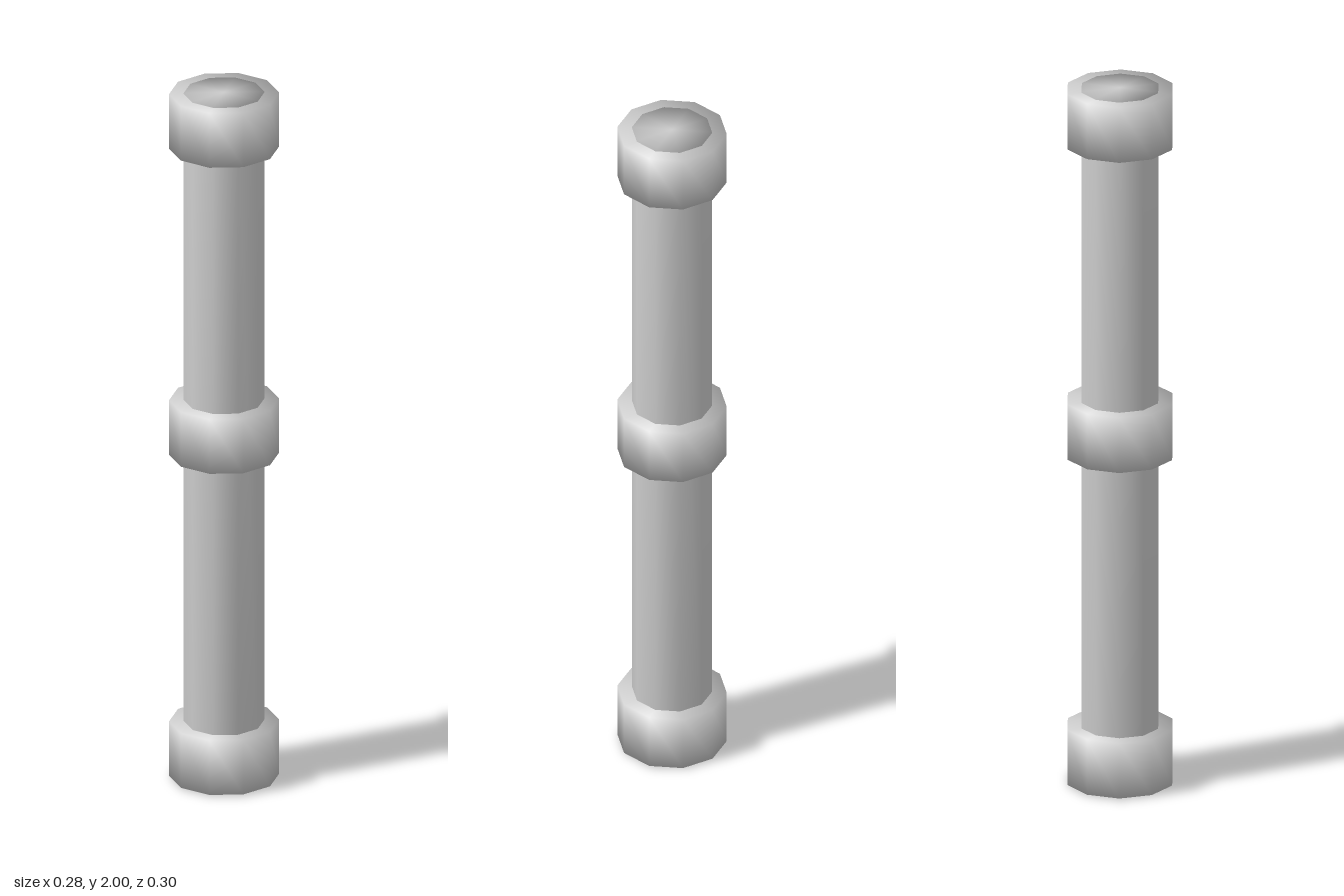
import * as THREE from 'three';

const SIDES = 10;

// Closed ten-sided drum whose normals blend smoothly over the rims
function drum(name, radius, bottom, top, material) {
  const profile = [[0, bottom], [radius, bottom], [radius, top], [0, top]]
    .map(([r, y]) => new THREE.Vector2(r, y));
  const mesh = new THREE.Mesh(new THREE.LatheGeometry(profile, SIDES), material);
  mesh.name = name;
  return mesh;
}

export function createModel() {
  const group = new THREE.Group();
  group.name = 'pipe';
  const grey = new THREE.MeshStandardMaterial({ color: 0xcccccc });
  grey.name = 'grey';

  // Straight shaft, standing just proud of the end collars
  group.add(drum('shaft', 0.109, 0, 2, grey));

  // Collars at the foot, the middle and the head
  const collars = { bottomCollar: 0.004, middleCollar: 0.943, topCollar: 1.838 };
  for (const [name, y] of Object.entries(collars)) {
    group.add(drum(name, 0.149, y, y + 0.159, grey));
  }
  return group;
}
